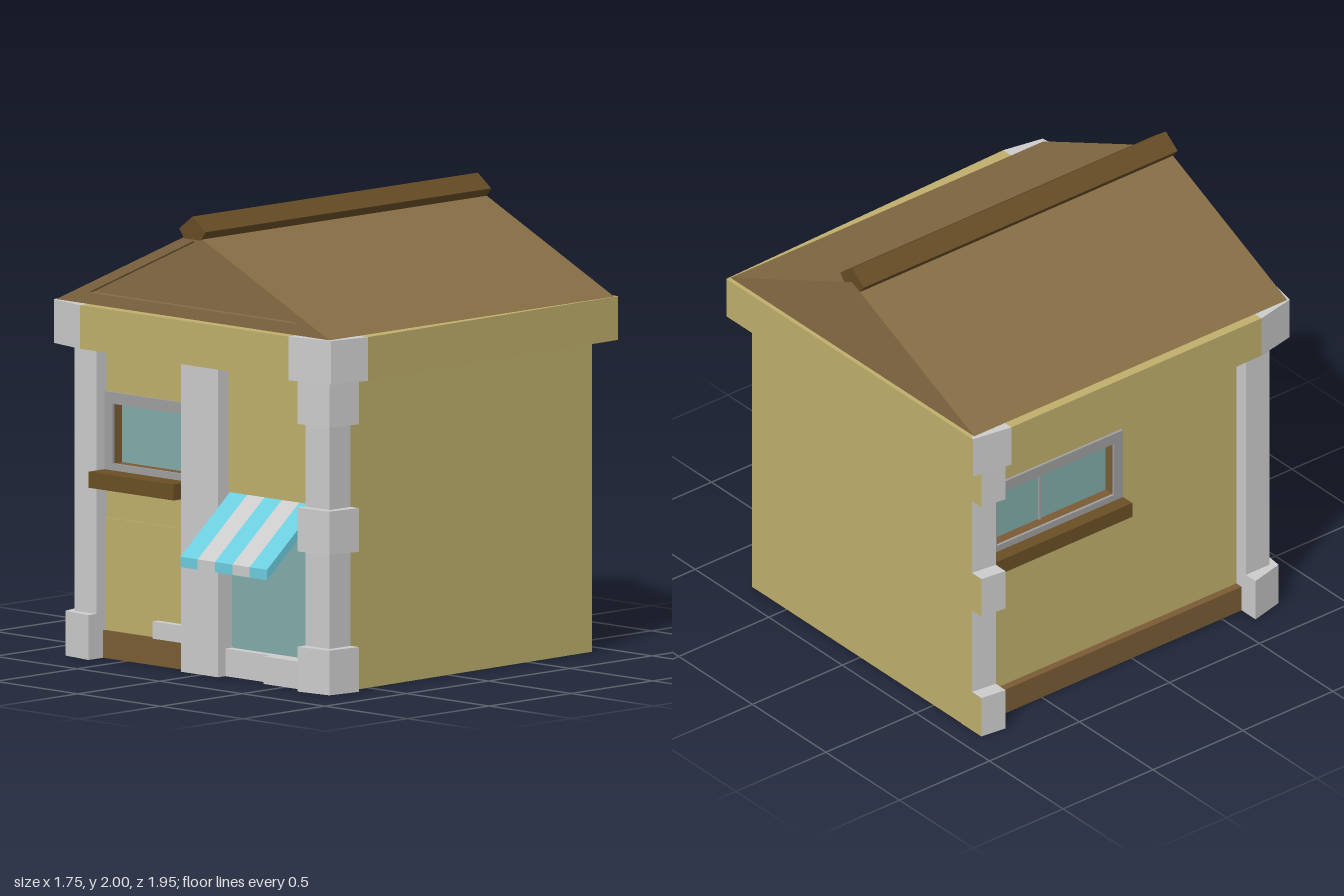
import * as THREE from 'three';

const mat = (color) => new THREE.MeshStandardMaterial({ color, flatShading: true, side: THREE.DoubleSide });
const STONE = mat(0xcccccc), PLASTER = mat(0xbfaf6c), GLASS = mat(0x80acaa), FRAME = mat(0x9f9f9f);
const ROOF = mat(0x866c44), RIDGE = mat(0x654b24), WOOD = mat(0x7a5c34), SILL = mat(0x6a4f24);
const TEAL = mat(0x6ccdde), WHITE = mat(0xffffff);

const poly = (pts) => new THREE.Shape(pts.map(([x, y]) => new THREE.Vector2(x, y)));
const rect = (x0, y0, x1, y1) => [[x0, y0], [x1, y0], [x1, y1], [x0, y1]];
const extrude = (shape, depth) => new THREE.ExtrudeGeometry(shape, { depth, bevelEnabled: false });

function add(parent, name, geometry, material) {
  const mesh = new THREE.Mesh(geometry, material);
  mesh.name = name;
  parent.add(mesh);
  return mesh;
}

// box given by its limits
function box(parent, name, x0, x1, y0, y1, z0, z1, material) {
  const m = add(parent, name, new THREE.BoxGeometry(x1 - x0, y1 - y0, z1 - z0), material);
  m.position.set((x0 + x1) / 2, (y0 + y1) / 2, (z0 + z1) / 2);
  return m;
}

// upright prism on an (x, z) outline
function prism(parent, name, pts, y0, y1, material) {
  const g = extrude(poly(pts.map(([x, z]) => [x, -z])), y1 - y0).rotateX(-Math.PI / 2);
  add(parent, name, g, material).position.y = y0;
}

// flat upright wall between two (x, z) points, outside on the left-to-right reading side
function wall(parent, name, [x0, z0], [x1, z1], y0, y1, material, hole) {
  const shape = poly(rect(0, y0, Math.hypot(x1 - x0, z1 - z0), y1));
  if (hole) shape.holes.push(poly(hole));
  const m = add(parent, name, new THREE.ShapeGeometry(shape), material);
  m.position.set(x0, 0, z0);
  m.rotation.y = Math.atan2(z0 - z1, x1 - x0);
}

// framed window with reveal, pane and sill; local x runs along the wall, z points out
function makeWindow(name, width, sillDepth, mullion) {
  const group = new THREE.Group();
  group.name = name;
  const opening = poly(rect(0.05, 0.85, width - 0.05, 1.11));
  const frame = poly(rect(0, 0.82, width, 1.16));
  frame.holes.push(opening);
  add(group, 'windowFrame', extrude(frame, 0.012), FRAME);
  const reveal = poly(rect(0.04, 0.84, width - 0.04, 1.12));
  reveal.holes.push(opening);
  add(group, 'windowReveal', extrude(reveal, 0.05), WOOD).position.z = -0.05;
  add(group, 'windowPane', new THREE.ShapeGeometry(opening), GLASS).position.z = -0.045;
  if (mullion) box(group, 'mullion', mullion - 0.006, mullion + 0.006, 0.85, 1.11, -0.045, -0.035, FRAME);
  box(group, 'windowSill', 0, width, 0.75, 0.82, 0, sillDepth, SILL);
  return group;
}

export function createModel() {
  const house = new THREE.Group();
  house.name = 'cornerShop';
  const TOP = 1.36;
  const bands = [[0, 0.195], [0.61, 0.8], [1.165, TOP]];

  // plain side and back walls
  wall(house, 'rightWall', [0.77, 0.61], [0.735, -0.9], 0, TOP, PLASTER);
  wall(house, 'backWall', [0.735, -0.9], [-0.76, -0.9], 0, TOP, PLASTER);

  // windowed left wall
  wall(house, 'leftWall', [-0.71, -0.78], [-0.71, 0.61], 0, TOP, PLASTER, rect(0.01, 0.83, 0.74, 1.15));
  const sideWindow = makeWindow('sideWindow', 0.75, 0.075, 0.33);
  sideWindow.position.set(-0.71, 0, -0.78);
  sideWindow.rotation.y = -Math.PI / 2;
  house.add(sideWindow);
  box(house, 'leftBaseboard', -0.745, -0.71, 0, 0.12, -0.78, 0.61, WOOD);

  // front left bay
  wall(house, 'frontWall', [-0.64, 0.68], [-0.125, 0.68], 0, TOP, PLASTER, rect(0.01, 0.83, 0.505, 1.15));
  const frontWindow = makeWindow('frontWindow', 0.515, 0.11);
  frontWindow.position.set(-0.64, 0, 0.68);
  house.add(frontWindow);
  box(house, 'lowerPanel', -0.64, -0.125, 0.12, 0.61, 0.68, 0.686, PLASTER);
  box(house, 'frontBaseboard', -0.64, -0.125, 0, 0.12, 0.67, 0.7, WOOD);
  box(house, 'stoneBlock', -0.32, -0.125, 0.12, 0.195, 0.68, 0.72, STONE);

  // front right bay with shop window
  wall(house, 'wallOverShop', [0.1, 0.68], [0.625, 0.68], 0.8, TOP, PLASTER);
  wall(house, 'shopWindow', [0.1, 0.66], [0.625, 0.66], 0.12, 0.8, GLASS);
  box(house, 'shopBase', 0.1, 0.37, 0, 0.12, 0.64, 0.7, STONE);
  box(house, 'shopStep', 0.37, 0.625, 0, 0.12, 0.64, 0.74, STONE);

  // striped awning
  const awning = new THREE.Group();
  awning.name = 'awning';
  house.add(awning);
  const slope = poly([[0.67, 0.755], [0.975, 0.505], [0.975, 0.55], [0.67, 0.8]]);
  for (let i = 0; i < 5; i++) {
    const stripe = extrude(slope, 0.105).rotateY(-Math.PI / 2);
    add(awning, 'awningStripe', stripe, i % 2 ? WHITE : TEAL).position.x = 0.1 + (i + 1) * 0.105;
  }

  // stone pillars
  box(house, 'centrePillar', -0.125, 0.1, 0, TOP, 0.61, 0.745, STONE);
  box(house, 'rightPillar', 0.625, 0.77, 0, TOP, 0.61, 0.74, STONE);
  box(house, 'leftPillar', -0.775, -0.64, 0, TOP, 0.61, 0.74, STONE);
  prism(house, 'backPillar', [[-0.7, -0.9], [-0.76, -0.9], [-0.775, -0.78], [-0.7, -0.78]], 0, TOP, STONE);
  wall(house, 'backPillarFace', [-0.69, -0.902], [-0.76, -0.902], 0, TOP, PLASTER);

  // corner stones
  bands.forEach(([y0, y1], i) => {
    prism(house, 'rightCornerStone', [[0.625, 0.79], [0.8, 0.77], [0.82, 0.61], [0.625, 0.61]], y0, y1, STONE);
    prism(house, 'backCornerStone', [[-0.7, -0.9], [-0.825, -0.9], [-0.84, -0.78], [-0.7, -0.78]], y0, y1, STONE);
    wall(house, 'backCornerStoneFace', [-0.76, -0.902], [-0.825, -0.902], y0, y1, PLASTER);
    if (i === 0)
      prism(house, 'leftCornerStone', [[-0.64, 0.79], [-0.8, 0.77], [-0.84, 0.61], [-0.64, 0.61]], y0, y1, STONE);
  });

  // cornice ring: outer corners, then matching inner corners
  const A = [-0.85, -0.97], B = [-0.88, -0.78], C = [-0.88, 0.61], D = [-0.84, 0.8], E = [-0.64, 0.84];
  const F = [0.62, 0.84], G = [0.84, 0.8], H = [0.875, 0.61], I = [0.825, -0.97];
  const a = [-0.7, -0.88], b = [-0.7, -0.78], c = [-0.7, 0.61], e = [-0.64, 0.66];
  const f = [0.62, 0.66], h = [0.74, 0.61], i = [0.72, -0.88];
  const cornice = new THREE.Group();
  cornice.name = 'cornice';
  house.add(cornice);
  [[A, B, b, a], [C, D, E, e, c], [F, G, H, h, f]].forEach((p) => prism(cornice, 'corniceStone', p, TOP, 1.55, STONE));
  [[B, C, c, b], [E, F, f, e], [H, I, i, h], [I, A, a, i]].forEach((p) => prism(cornice, 'corniceBand', p, TOP, 1.55, PLASTER));
  wall(cornice, 'corniceBackFace', [-0.8, -0.971], [-0.85, -0.971], TOP, 1.55, PLASTER);

  // roof with framed front gable
  const gable = [[-0.835, 1.55], [0.82, 1.55], [-0.005, 1.93]];
  add(house, 'roof', extrude(poly(gable), 1.71), ROOF).position.z = -0.95;
  const rake = poly(gable);
  rake.holes.push(poly([[-0.64, 1.6], [0.62, 1.6], [-0.005, 1.892]]));
  add(house, 'gableFrame', extrude(rake, 0.03), ROOF).position.z = 0.76;

  // ridge cap
  const cap = poly([[-0.085, 1.94], [-0.055, 1.9], [0.045, 1.9], [0.075, 1.94], [-0.005, 2]]);
  add(house, 'ridgeCap', extrude(cap, 1.745), RIDGE).position.z = -0.95;

  return house;
}
